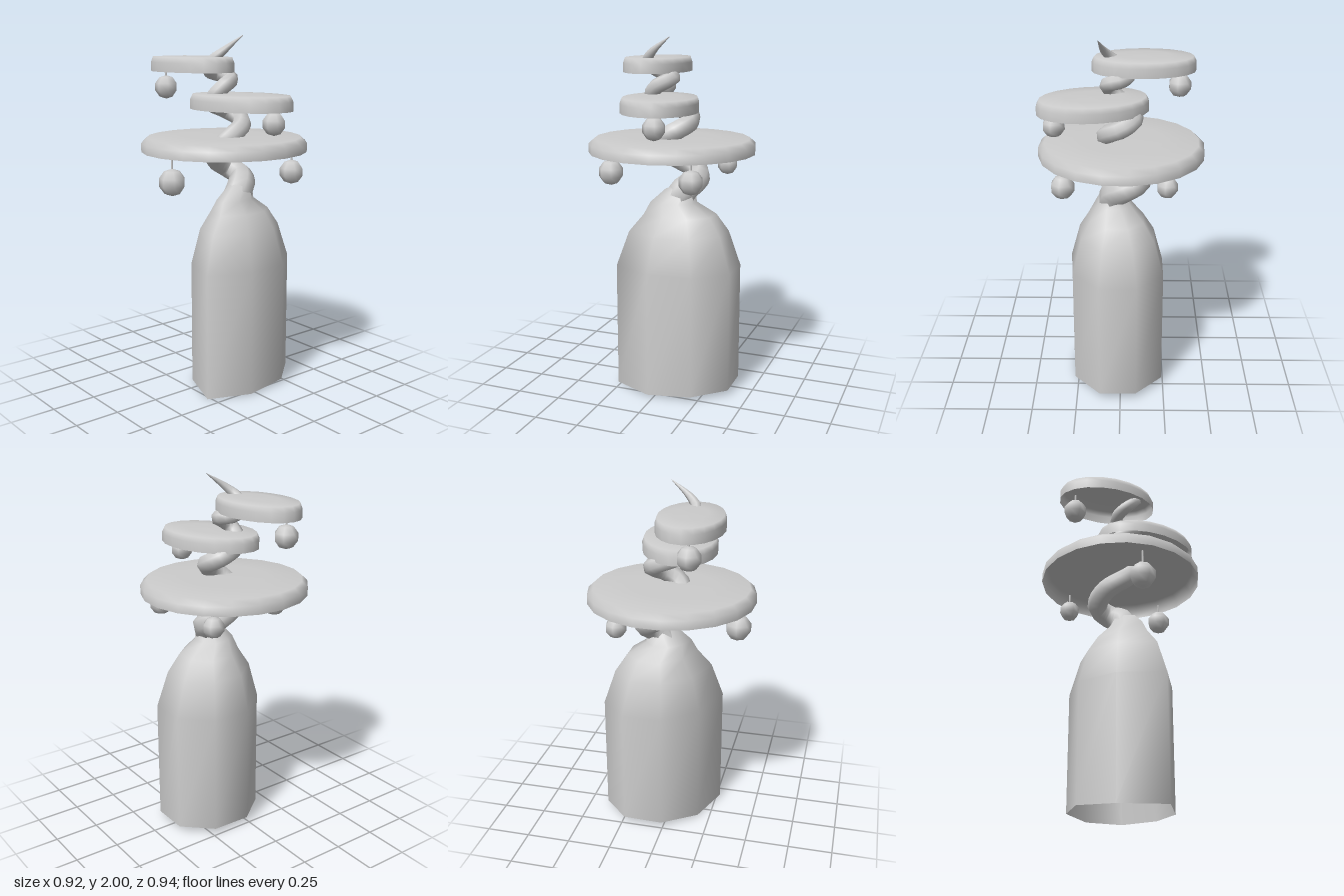
import * as THREE from 'three';

const material = new THREE.MeshStandardMaterial({ color: 0xcccccc, side: THREE.DoubleSide });

function addMesh(parent, geometry, name) {
  const mesh = new THREE.Mesh(geometry, material);
  mesh.name = name;
  parent.add(mesh);
  return mesh;
}

// Smooth skin over a stack of closed rings with equal point counts
function loft(rings) {
  const n = rings[0].length, positions = [], index = [];
  rings.forEach(ring => ring.forEach(p => positions.push(p.x, p.y, p.z)));
  for (let i = 0; i < rings.length - 1; i++) {
    for (let j = 0; j < n; j++) {
      const a = i * n + j, b = i * n + (j + 1) % n;
      index.push(a, b, b + n, a, b + n, a + n);
    }
  }
  const g = new THREE.BufferGeometry();
  g.setAttribute('position', new THREE.Float32BufferAttribute(positions, 3));
  g.setIndex(index);
  g.computeVertexNormals();
  return g;
}

// Eight-sided trunk, open at its slightly uneven foot, narrowing to a neck
function trunk() {
  const foot = [ // x, y, z
    [-0.24, 0.03, -0.01], [-0.08, 0.008, 0.18], [0.18, 0, 0.27], [0.29, 0.005, 0.04],
    [0.27, 0.022, -0.21], [0.12, 0.028, -0.385], [-0.09, 0.03, -0.385], [-0.24, 0.035, -0.235],
  ];
  const levels = [ // y, scale, centre x, centre z
    [0.72, 1, 0.025, -0.06], [0.92, 0.8, 0.025, -0.06], [1.02, 0.58, 0.027, -0.065],
    [1.09, 0.37, 0.042, -0.03], [1.17, 0.23, 0.045, -0.07], [1.2, 0.02, 0.045, -0.09],
  ];
  const rings = [foot.map(p => new THREE.Vector3(...p))];
  for (const [y, s, cx, cz] of levels) {
    rings.push(foot.map(([x, , z]) =>
      new THREE.Vector3(cx + (x - 0.025) * s, y, cz + (z + 0.06) * s)));
  }
  return loft(rings);
}

// Spiralling stem that tapers to a pointed tip
function stem() {
  const path = [ // x, y, z, radius
    [0.045, 1.08, -0.04, 0.08], [0.04, 1.16, -0.09, 0.08], [-0.03, 1.21, -0.14, 0.068],
    [-0.11, 1.25, -0.11, 0.063], [-0.09, 1.31, 0, 0.06], [0.02, 1.38, 0.06, 0.056],
    [0.08, 1.45, 0.02, 0.054], [0.07, 1.5, -0.06, 0.053], [0, 1.54, -0.11, 0.052],
    [-0.07, 1.58, -0.07, 0.05], [-0.05, 1.62, 0.04, 0.048], [0.02, 1.66, 0.1, 0.046],
    [0.07, 1.72, 0.08, 0.044], [0.06, 1.765, 0, 0.042], [0, 1.78, -0.01, 0.04],
    [-0.04, 1.79, 0.04, 0.038], [-0.01, 1.82, 0.11, 0.036], [0.05, 1.87, 0.125, 0.032],
    [0.09, 1.92, 0.08, 0.022], [0.12, 2, -0.03, 0.002],
  ];
  const curve = new THREE.CatmullRomCurve3(path.map(p => new THREE.Vector3(p[0], p[1], p[2])));
  const segments = 57, sides = 7;
  const frames = curve.computeFrenetFrames(segments);
  const rings = [];
  for (let i = 0; i <= segments; i++) {
    const u = i / segments, centre = curve.getPointAt(u);
    const t = curve.getUtoTmapping(u) * (path.length - 1);
    const k = Math.min(Math.floor(t), path.length - 2);
    const r = THREE.MathUtils.lerp(path[k][3], path[k + 1][3], t - k);
    rings.push(Array.from({ length: sides }, (_, j) => {
      const a = j / sides * Math.PI * 2;
      return centre.clone()
        .addScaledVector(frames.normals[i], r * Math.cos(a))
        .addScaledVector(frames.binormals[i], r * Math.sin(a));
    }));
  }
  return loft(rings);
}

// Oval canopy shell with a bevelled rim, open underneath
function addCanopy(parent, name, { x, y, z, a, b, turn, bevel }) {
  const profile = [
    [1, 0], [1, 0.05], [1 - bevel, 0.08], [0.5, 0.085], [0, 0.087],
  ].map(p => new THREE.Vector2(...p));
  const canopy = addMesh(parent, new THREE.LatheGeometry(profile, 20), name);
  canopy.scale.set(a, 1, b);
  canopy.rotation.y = turn;
  canopy.position.set(x, y, z);
}

// Faceted ball hanging on a thin stalk
function addLantern(parent, [x, y, z, r, top]) {
  const lantern = new THREE.Group();
  lantern.name = 'hangingBall';
  lantern.position.set(x, y, z);
  addMesh(lantern, new THREE.SphereGeometry(r, 7, 5), 'ball');
  const length = top - y;
  addMesh(lantern, new THREE.CylinderGeometry(0.006, 0.006, length, 6), 'stalk').position.y = length / 2;
  parent.add(lantern);
}

export function createModel() {
  const model = new THREE.Group();
  model.name = 'spiralTree';
  addMesh(model, trunk(), 'trunk');
  addMesh(model, stem(), 'spiralStem');

  addCanopy(model, 'lowerCanopy', { x: -0.003, y: 1.365, z: 0, a: 0.46, b: 0.47, turn: 0.1, bevel: 0.07 });
  addCanopy(model, 'middleCanopy', { x: 0.152, y: 1.605, z: 0.012, a: 0.312, b: 0.213, turn: 0.24, bevel: 0.05 });
  addCanopy(model, 'upperCanopy', { x: -0.125, y: 1.803, z: 0.132, a: 0.287, b: 0.183, turn: 0.04, bevel: 0.05 });

  // x, y, z, radius, stalk top
  const lanterns = [
    [-0.25, 1.27, -0.25, 0.06, 1.38], [0.015, 1.225, 0.375, 0.075, 1.38],
    [0.31, 1.26, -0.225, 0.068, 1.38], [0.365, 1.54, -0.04, 0.064, 1.62],
    [-0.325, 1.71, 0.165, 0.067, 1.82],
  ];
  lanterns.forEach(l => addLantern(model, l));
  return model;
}
